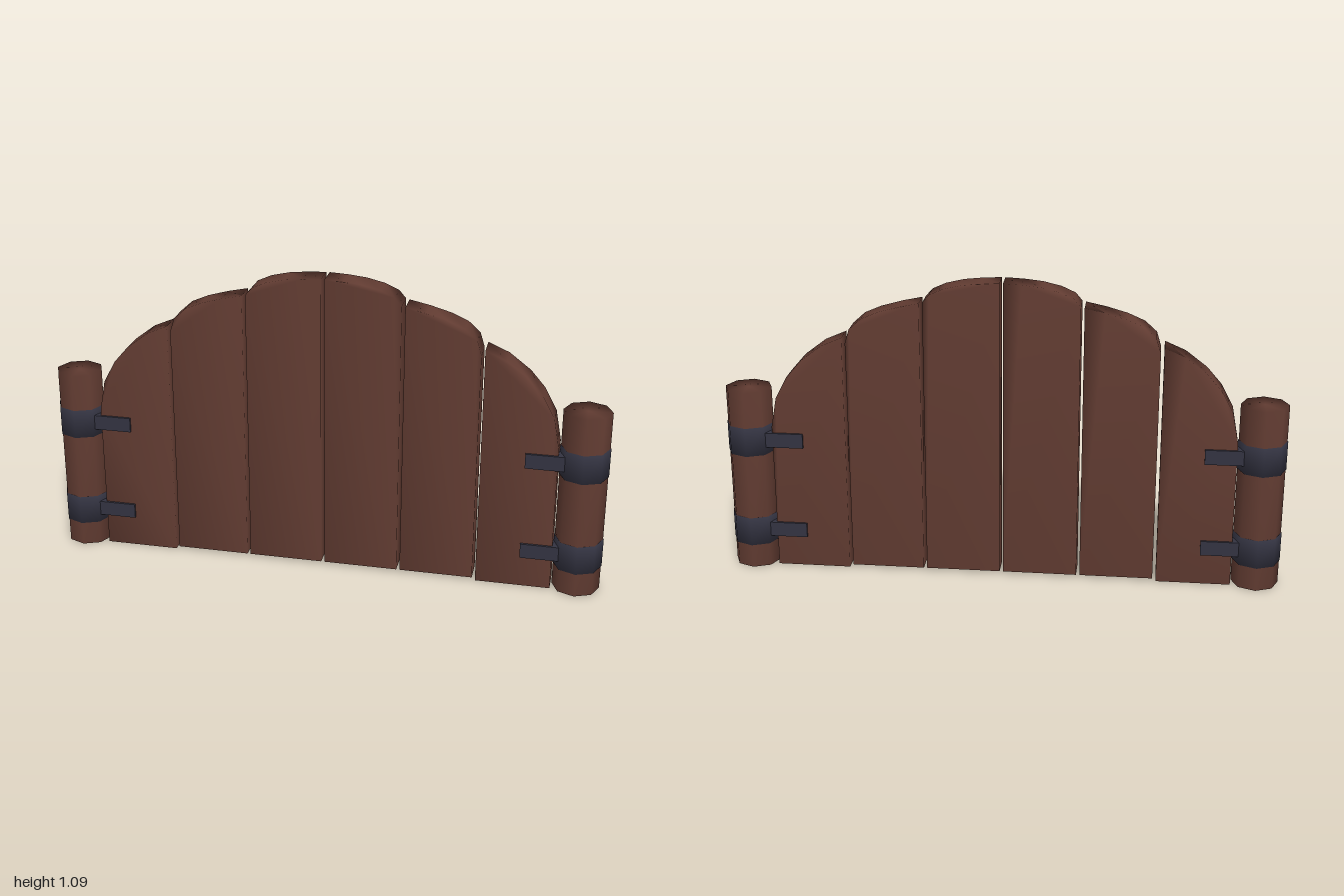
import * as THREE from 'three';
import { mergeVertices } from 'three/addons/utils/BufferGeometryUtils.js';

// Shares corner vertices so the shading rolls softly over the edges
function soften(geometry) {
  geometry.deleteAttribute('normal');
  geometry.deleteAttribute('uv');
  const merged = mergeVertices(geometry, 1e-4);
  merged.computeVertexNormals();
  return merged;
}

export function createModel() {
  const gate = new THREE.Group();
  gate.name = 'gate';
  const wood = new THREE.MeshStandardMaterial({ name: 'brown wood', color: 0x623c32 });
  const iron = new THREE.MeshStandardMaterial({ name: 'dark iron', color: 0x333341 });

  const add = (name, geometry, material, x = 0, y = 0, z = 0) => {
    const mesh = new THREE.Mesh(geometry, material);
    mesh.name = name;
    mesh.position.set(x, y, z);
    gate.add(mesh);
  };

  // Plank outlines for one half: bottom height and curved top, from the centre outwards
  const planks = [
    { name: 'innerPlank', bottom: 0.01, top: [[0.006, 1.09], [0.07, 1.087], [0.136, 1.08], [0.2, 1.065], [0.249, 1.043], [0.273, 1.015]] },
    { name: 'middlePlank', bottom: 0.01, top: [[0.285, 1.012], [0.356, 0.997], [0.43, 0.976], [0.49, 0.95], [0.532, 0.912], [0.548, 0.86]] },
    { name: 'outerPlank', bottom: 0, top: [[0.56, 0.88], [0.634, 0.848], [0.71, 0.79], [0.762, 0.73], [0.805, 0.65], [0.826, 0.54]] },
  ];
  const depth = 0.088;

  for (const side of [-1, 1]) {
    const label = side > 0 ? 'left' : 'right';

    // Arched planks
    for (const { name, bottom, top } of planks) {
      const outline = [[top[0][0], bottom], ...top, [top[top.length - 1][0], bottom]];
      const shape = new THREE.Shape(outline.map(([x, y]) => new THREE.Vector2(side * x, y)));
      const geometry = new THREE.ExtrudeGeometry(shape, { depth, bevelEnabled: false });
      add(`${label} ${name}`, soften(geometry), wood, 0, 0, -depth / 2);
    }

    // Octagonal post
    const postX = side * 0.914;
    add(`${label} post`, soften(new THREE.CylinderGeometry(0.084, 0.084, 0.675, 8)), wood, postX, 0.3375);

    // Iron bands with straps reaching across both faces of the outer plank
    for (const y of [0.141, 0.489]) {
      add(`${label} hingeBand`, soften(new THREE.CylinderGeometry(0.0865, 0.0865, 0.106, 8)), iron, postX, y);
      add(`${label} hingeStrap`, new THREE.BoxGeometry(0.16, 0.054, 0.105), iron, side * 0.794, y + 0.001);
    }
  }
  return gate;
}
